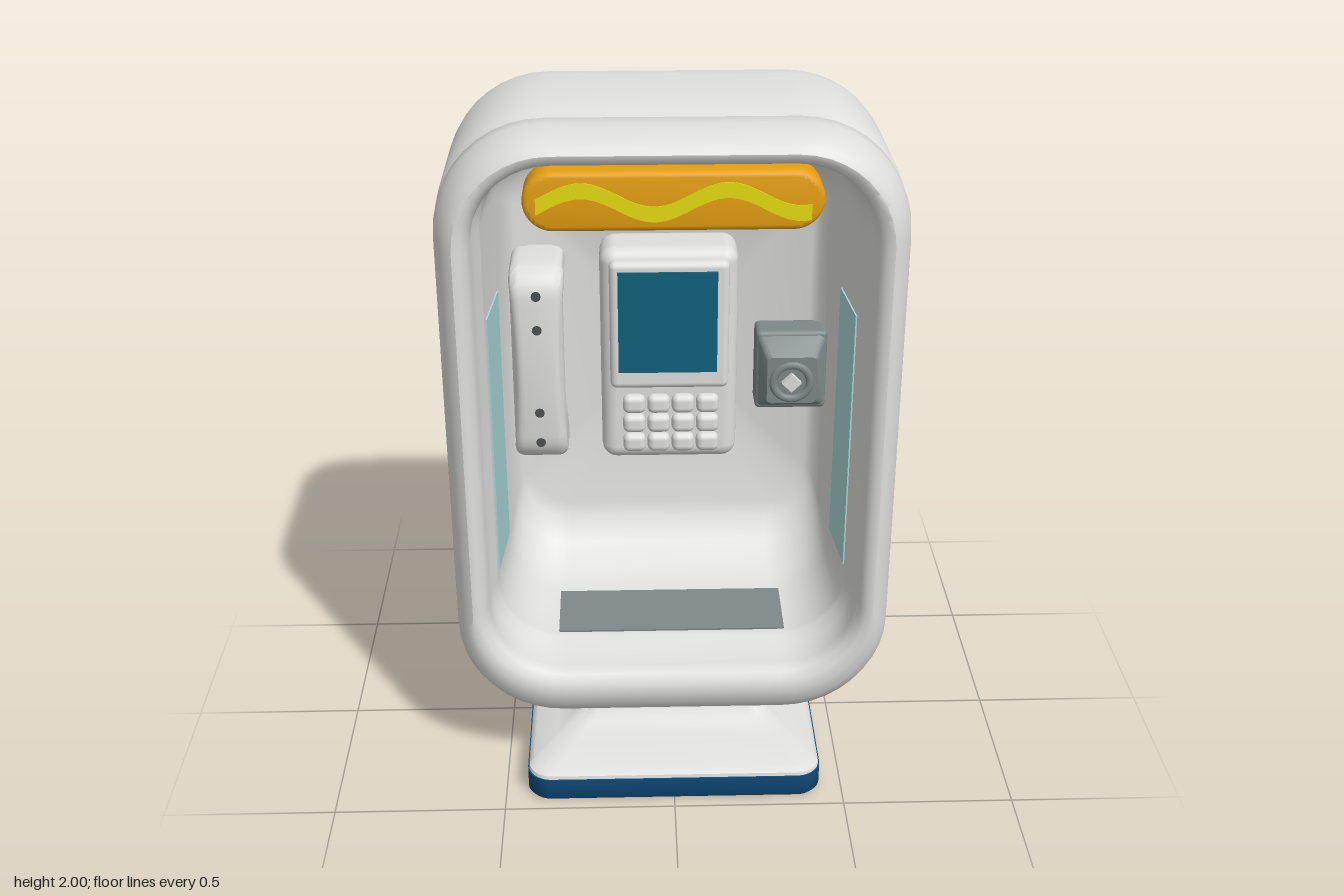
import * as THREE from 'three';
import { toCreasedNormals } from 'three/addons/utils/BufferGeometryUtils.js';
import { RoundedBoxGeometry } from 'three/addons/geometries/RoundedBoxGeometry.js';

const mat = (name, color) => {
  const m = new THREE.MeshStandardMaterial({ color });
  m.name = name;
  return m;
};

// Rounded rectangle outline, counterclockwise, at depth z
function ring([hw, y0, y1, r, z], k = 10) {
  const pts = [];
  const corners = [[hw - r, y1 - r], [-hw + r, y1 - r], [-hw + r, y0 + r], [hw - r, y0 + r]];
  corners.forEach(([cx, cy], q) => {
    for (let i = 0; i <= k; i++) {
      const a = (q + i / k) * Math.PI / 2;
      pts.push([cx + r * Math.cos(a), cy + r * Math.sin(a), z]);
    }
  });
  return pts;
}

// Skin through rounded rectangles, capped at both ends
function loft(sections, crease = 0.75) {
  const pos = [], idx = [];
  const rings = sections.map((s) => ring(s));
  const n = rings[0].length;
  rings.forEach((r) => r.forEach((p) => pos.push(...p)));
  for (let j = 0; j < rings.length - 1; j++) {
    for (let i = 0; i < n; i++) {
      const a = j * n + i, b = j * n + (i + 1) % n;
      idx.push(a, b, b + n, a, b + n, a + n);
    }
  }
  const first = sections[0], last = sections[sections.length - 1];
  const c = pos.length / 3, e = (rings.length - 1) * n;
  pos.push(0, (first[1] + first[2]) / 2, first[4], 0, (last[1] + last[2]) / 2, last[4]);
  for (let i = 0; i < n; i++) {
    const k = (i + 1) % n;
    idx.push(c, k, i, c + 1, e + i, e + k);
  }
  const g = new THREE.BufferGeometry();
  g.setAttribute('position', new THREE.Float32BufferAttribute(pos, 3));
  g.setIndex(idx);
  return toCreasedNormals(g, crease);
}

export function createModel() {
  const group = new THREE.Group();
  const shellMat = mat('shell white', 0xdededc);
  const blue = mat('base blue', 0x0f4c7c);
  const screenMat = mat('screen teal', 0x10627c);
  const glass = mat('window aqua', 0xa9d8d7);
  const grey = mat('metal grey', 0x7f8888);
  const dark = mat('hole grey', 0x4c5052);
  const orange = mat('sign orange', 0xe6a010);
  const yellow = mat('wave yellow', 0xe8de10);

  const add = (name, geo, material, x = 0, y = 0, z = 0) => {
    const m = new THREE.Mesh(geo, material);
    m.name = name;
    m.position.set(x, y, z);
    group.add(m);
    return m;
  };
  const pad = (name, w, h, d, r, material, x, y, z) =>
    add(name, new RoundedBoxGeometry(w, h, d, 3, r), material, x, y, z);

  // Booth shell: bulged back, outer walls, seam, rounded rim, then the hollow inside
  const back = [[0.55, -0.411], [0.4, -0.407], [0.28, -0.4], [0.18, -0.386], [0.1, -0.366],
    [0.05, -0.345], [0.015, -0.31], [0.003, -0.27], [0, -0.22], [0, 0.155], [0.01, 0.168],
    [0.01, 0.174], [0.003, 0.185], [0.003, 0.24]];
  const shell = back.map(([i, z]) =>
    [0.635 - i, 0.2 + i, 2 - i, Math.max(0.3 - i * 0.7, 0.06), z]);
  shell.push(
    [0.625, 0.212, 1.992, 0.3, 0.29],
    [0.608, 0.235, 1.98, 0.285, 0.33],
    [0.59, 0.27, 1.965, 0.27, 0.355],
    [0.575, 0.31, 1.95, 0.26, 0.366],
    [0.555, 0.345, 1.935, 0.24, 0.363],
    [0.538, 0.367, 1.92, 0.225, 0.345],
    [0.53, 0.376, 1.912, 0.215, 0.31],
    [0.53, 0.378, 1.91, 0.21, 0.22],
    [0.515, 0.395, 1.895, 0.2, 0.19],
    [0.514, 0.396, 1.893, 0.2, 0.17],
    [0.495, 0.405, 1.87, 0.18, -0.06],
    [0.487, 0.43, 1.85, 0.18, -0.13],
    [0.475, 0.49, 1.81, 0.17, -0.21],
    [0.455, 0.55, 1.765, 0.15, -0.255],
    [0.43, 0.6, 1.73, 0.13, -0.27]);
  add('boothShell', loft(shell), shellMat);

  // Side windows, outside and inside faces
  for (const s of [-1, 1]) {
    add('sideWindow', new THREE.BoxGeometry(0.008, 0.8, 0.4), glass, s * 0.635, 1.02, -0.045);
    const inner = add('innerWindow', new THREE.BoxGeometry(0.008, 0.8, 0.21), glass,
      s * 0.504, 1.02, 0.055);
    inner.rotation.y = s * 0.083;
  }
  const floor = add('floorPlate', new THREE.BoxGeometry(0.68, 0.008, 0.21), grey, 0, 0.402, 0.06);
  floor.rotation.x = 0.039;

  // Foot: blue slab and white flared neck, skinned upward
  const flat = (rows) => loft(rows.map(([hx, hz, r, y]) => [hx, -hz, hz, r, y])).rotateX(-Math.PI / 2);
  add('baseSlab', flat([[0.425, 0.455, 0.06, 0], [0.435, 0.465, 0.07, 0.012],
    [0.435, 0.465, 0.07, 0.075]]), blue);
  add('neck', flat([[0.432, 0.462, 0.07, 0.075], [0.43, 0.46, 0.07, 0.085],
    [0.415, 0.44, 0.065, 0.096], [0.35, 0.34, 0.06, 0.118], [0.295, 0.26, 0.055, 0.14],
    [0.278, 0.237, 0.05, 0.16], [0.28, 0.23, 0.05, 0.19], [0.28, 0.23, 0.05, 0.26]]), shellMat);

  // Sign with a wavy stripe
  const capsule = new THREE.Shape();
  capsule.absarc(0.31, 0, 0.065, -Math.PI / 2, Math.PI / 2);
  capsule.absarc(-0.31, 0, 0.065, Math.PI / 2, Math.PI * 1.5);
  add('sign', toCreasedNormals(new THREE.ExtrudeGeometry(capsule, {
    depth: 0.08, bevelThickness: 0.015, bevelSize: 0.015, bevelSegments: 3, curveSegments: 16,
  }), 0.6), orange, 0, 1.82, 0.25);
  const wave = (x) => 0.032 * Math.cos((x + 0.24) / 0.38 * Math.PI * 2);
  const stripe = new THREE.Shape();
  const steps = 48;
  const wx = (i) => -0.355 + 0.71 * i / steps;
  for (let i = 0; i <= steps; i++) stripe.lineTo(wx(i), wave(wx(i)) + 0.021);
  for (let i = steps; i >= 0; i--) stripe.lineTo(wx(i), wave(wx(i)) - 0.021);
  stripe.currentPoint.set(0, 0);
  stripe.curves.shift();
  add('signWave', new THREE.ExtrudeGeometry(stripe, { depth: 0.005, bevelEnabled: false }),
    yellow, 0, 1.82, 0.343);

  // Telephone body, screen and keypad
  pad('phoneBody', 0.405, 0.68, 0.18, 0.045, shellMat, 0, 1.18, -0.19);
  pad('screenBezel', 0.35, 0.4, 0.06, 0.02, shellMat, 0, 1.29, -0.105);
  add('screen', new THREE.BoxGeometry(0.29, 0.315, 0.008), screenMat, -0.005, 1.305, -0.073);
  for (let row = 0; row < 3; row++) {
    for (let col = 0; col < 4; col++) {
      pad('key', 0.068, 0.06, 0.045, 0.02, shellMat, -0.105 + col * 0.073, 1.035 - row * 0.064, -0.098);
    }
  }

  // Handset: C-shaped side profile, swept across its width
  const c = new THREE.Shape();
  c.moveTo(-0.15, 0.28);
  c.lineTo(-0.04, 0.28);
  c.quadraticCurveTo(0.01, 0.27, 0.012, 0.2);
  c.quadraticCurveTo(0.03, 0, 0.012, -0.2);
  c.quadraticCurveTo(0.01, -0.27, -0.04, -0.28);
  c.lineTo(-0.15, -0.28);
  c.lineTo(-0.15, -0.18);
  c.quadraticCurveTo(-0.04, -0.18, -0.03, -0.1);
  c.quadraticCurveTo(-0.02, 0, -0.03, 0.1);
  c.quadraticCurveTo(-0.04, 0.18, -0.15, 0.18);
  const hand = new THREE.ExtrudeGeometry(c, {
    depth: 0.1, bevelThickness: 0.028, bevelSize: 0.024, bevelSegments: 4, curveSegments: 10,
  }).translate(0, 0, -0.05).rotateY(-Math.PI / 2);
  // Narrow the grip in the middle
  const p = hand.attributes.position;
  for (let i = 0; i < p.count; i++) {
    p.setX(i, p.getX(i) * (0.84 + 0.16 * Math.min(1, Math.abs(p.getY(i)) / 0.26) ** 2));
  }
  add('handset', toCreasedNormals(hand, 0.9), shellMat, -0.38, 1.205, 0);
  pad('handsetCradle', 0.1, 0.1, 0.16, 0.02, shellMat, -0.38, 1.43, -0.2);
  pad('handsetRest', 0.1, 0.1, 0.16, 0.02, shellMat, -0.38, 0.98, -0.2);
  for (const y of [1.435, 1.335, 1.075, 0.975]) {
    const hole = add('handsetHole', new THREE.CylinderGeometry(0.014, 0.014, 0.008, 12), dark,
      -0.38, y, Math.abs(y - 1.205) > 0.2 ? 0.034 : 0.041);
    hole.rotation.x = Math.PI / 2;
  }

  // Coin unit: tapered block, round dial and diamond knob
  pad('coinBox', 0.215, 0.255, 0.1, 0.015, grey, 0.37, 1.1, -0.225);
  add('coinPlate', loft([[0.1, -0.115, 0.115, 0.015, 0], [0.075, -0.09, 0.06, 0.015, 0.04]], 0.4),
    grey, 0.37, 1.1, -0.176);
  const dial = add('coinDial', new THREE.TorusGeometry(0.055, 0.012, 10, 28), grey, 0.368, 1.083, -0.13);
  dial.scale.z = 0.8;
  const knob = add('coinKnob', new THREE.BoxGeometry(0.042, 0.042, 0.02), shellMat, 0.368, 1.083, -0.128);
  knob.rotation.z = Math.PI / 4;

  return group;
}
